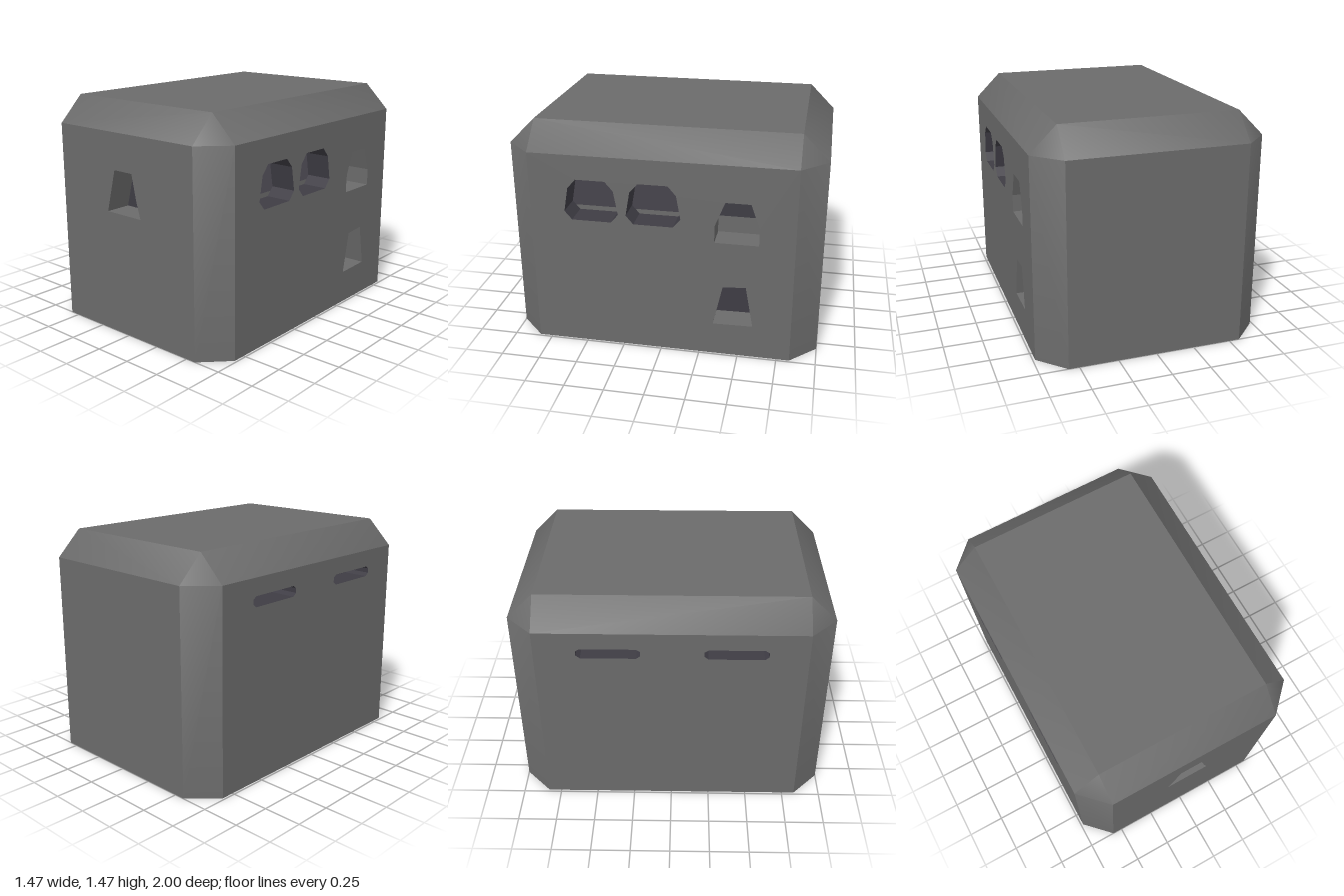
import * as THREE from 'three';
import { toCreasedNormals } from 'three/addons/utils/BufferGeometryUtils.js';

const X = 0.735, Z = 1, H = 1.47, C = 0.167;       // half sizes, height, chamfer and wall thickness
const IX = X - C, IZ = Z - C, IY = H - C, FLOOR = 0.905;

export function createModel() {
  const model = new THREE.Group();
  const stone = new THREE.MeshStandardMaterial({ color: 0x6b6b6b, side: THREE.DoubleSide });
  stone.name = 'grey stone';
  const dark = new THREE.MeshStandardMaterial({ color: 0x3e3c44, side: THREE.DoubleSide });
  dark.name = 'dark interior';

  const points = (list) => list.map(([u, v]) => new THREE.Vector2(u, v));
  const add = (name, geometry, material, parent) => {
    const mesh = new THREE.Mesh(geometry, material);
    mesh.name = name;
    parent.add(mesh);
    return mesh;
  };
  // flat panel in the local xy plane, with optional holes
  const panel = (name, outline, holes, material, parent, depth = 0) => {
    const shape = new THREE.Shape(points(outline));
    holes.forEach((h) => shape.holes.push(new THREE.Path(points(h))));
    add(name, new THREE.ShapeGeometry(shape), material, parent).position.z = depth;
  };
  const rect = (u0, u1, v0, v1) => [[u0, v0], [u1, v0], [u1, v1], [u0, v1]];
  // side walls of an opening, running inwards; outline is counterclockwise
  const reveal = (name, outline, material, parent) => {
    const pos = [];
    outline.forEach(([u, v], i) => {
      const [s, t] = outline[(i + 1) % outline.length];
      pos.push(u, v, 0, s, t, -C, s, t, 0, u, v, 0, u, v, -C, s, t, -C);
    });
    const g = new THREE.BufferGeometry();
    g.setAttribute('position', new THREE.Float32BufferAttribute(pos, 3));
    g.computeVertexNormals();
    add(name, g, material, parent);
  };
  // one side of the block: local z points outwards
  const side = (name, angle, distance) => {
    const g = new THREE.Group();
    g.name = name;
    g.rotation.y = angle;
    g.position.set(Math.sin(angle) * distance, 0, Math.cos(angle) * distance);
    model.add(g);
    return g;
  };

  // openings, in the local coordinates of their wall
  const portholes = [-0.438, -0.045].map((c) => [
    [-0.125, 0.875], [0.125, 0.875], [0.172, 0.93], [0.145, 1.085],
    [0.093, 1.145], [-0.093, 1.145], [-0.145, 1.085], [-0.172, 0.93],
  ].map(([u, v]) => [u + c, v]));
  const upperNiche = [[0.337, 0.795], [0.612, 0.795], [0.612, FLOOR], [0.557, 1.065], [0.4, 1.065], [0.337, FLOOR]];
  const lowerNiche = [[0.337, 0.22], [0.59, 0.225], [0.54, 0.5], [0.395, 0.49]];
  const frontNiche = [[-0.153, 0.795], [0.137, 0.795], [0.105, FLOOR], [0.07, 1.068], [-0.08, 1.068]];
  const slots = [-0.38, 0.395].map((c) => [
    [-0.17, 1.125], [0.17, 1.125], [0.195, 1.145], [0.195, 1.175],
    [0.17, 1.192], [-0.17, 1.192], [-0.195, 1.175], [-0.195, 1.145],
  ].map(([u, v]) => [u + c, v]));

  // front and back
  const front = side('front', 0, Z);
  panel('frontWall', rect(-IX, IX, 0, IY), [frontNiche], stone, front);
  reveal('frontNicheWalls', frontNiche, stone, front);
  panel('frontNicheBack', frontNiche, [], dark, front, -C);
  panel('backWall', rect(-IX, IX, 0, IY), [], stone, side('back', Math.PI, Z));

  // left side with portholes and niches
  const left = side('leftSide', Math.PI / 2, X);
  panel('leftWall', rect(-IZ, IZ, 0, IY), [...portholes, upperNiche, lowerNiche], stone, left);
  portholes.forEach((p) => reveal('portholeWalls', p, dark, left));
  reveal('upperNicheWalls', upperNiche, stone, left);
  reveal('lowerNicheWalls', lowerNiche, stone, left);
  panel('upperNicheStep', upperNiche.slice(0, 3).concat([upperNiche[5]]), [], stone, left, -C);
  panel('upperNicheBack', upperNiche.slice(2), [], dark, left, -C);
  panel('lowerNicheBack', lowerNiche, [], dark, left, -C);
  portholes.forEach((p) => panel('portholeStep',
    [p[0], p[1], [p[2][0] - 0.02, FLOOR], [p[7][0] + 0.02, FLOOR]], [], stone, left, -C));

  // right side with two slots
  const right = side('rightSide', -Math.PI / 2, X);
  panel('rightWall', rect(-IZ, IZ, 0, IY), slots, stone, right);
  slots.forEach((s) => reveal('slotWalls', s, dark, right));

  // inner room, open to the portholes and the slots
  panel('roomRightWall', rect(-IZ, IZ, FLOOR, IY), slots, dark, right, -C);
  const plate = (name, w, d, y, up, material) => {
    const g = new THREE.PlaneGeometry(w, d).rotateX(up ? -Math.PI / 2 : Math.PI / 2);
    add(name, g, material, model).position.y = y;
  };
  plate('roomFloor', 2 * IX, 2 * IZ, FLOOR, true, dark);
  plate('roomCeiling', 2 * IX, 2 * IZ, IY, false, dark);
  [1, -1].forEach((s) => {
    const g = new THREE.PlaneGeometry(2 * IX, IY - FLOOR);
    if (s > 0) g.rotateY(Math.PI);
    add('roomEndWall', g, dark, model).position.set(0, (IY + FLOOR) / 2, s * (IZ - 0.005));
  });

  // roof and base
  plate('roof', 2 * IX, 2 * IZ, H, true, stone);
  const base = new THREE.Shape(points([[IX, -Z], [X, -IZ], [X, IZ], [IX, Z], [-IX, Z], [-X, IZ], [-X, -IZ], [-IX, -Z]]));
  add('base', new THREE.ShapeGeometry(base).rotateX(Math.PI / 2), stone, model);

  // chamfers along the roof and the upright corners, wound to face outwards
  const pos = [];
  const centre = new THREE.Vector3(0, H / 2, 0);
  const tri = (...abc) => {
    const [a, b, c] = abc.map((p) => new THREE.Vector3(...p));
    const n = b.clone().sub(a).cross(c.clone().sub(a));
    const order = n.dot(a.clone().sub(centre)) > 0 ? [a, b, c] : [a, c, b];
    order.forEach((p) => pos.push(p.x, p.y, p.z));
  };
  const quad = (a, b, c, d) => { tri(a, b, c); tri(a, c, d); };
  for (const s of [1, -1]) {
    quad([-IX, IY, s * Z], [IX, IY, s * Z], [IX, H, s * IZ], [-IX, H, s * IZ]);
    quad([s * X, IY, -IZ], [s * X, IY, IZ], [s * IX, H, IZ], [s * IX, H, -IZ]);
    for (const t of [1, -1]) {
      quad([s * IX, 0, t * Z], [s * X, 0, t * IZ], [s * X, IY, t * IZ], [s * IX, IY, t * Z]);
      tri([s * IX, IY, t * Z], [s * X, IY, t * IZ], [s * IX, H, t * IZ]);
    }
  }
  const trim = new THREE.BufferGeometry();
  trim.setAttribute('position', new THREE.Float32BufferAttribute(pos, 3));
  add('chamfers', toCreasedNormals(trim, 0.7), stone, model);

  return model;
}
